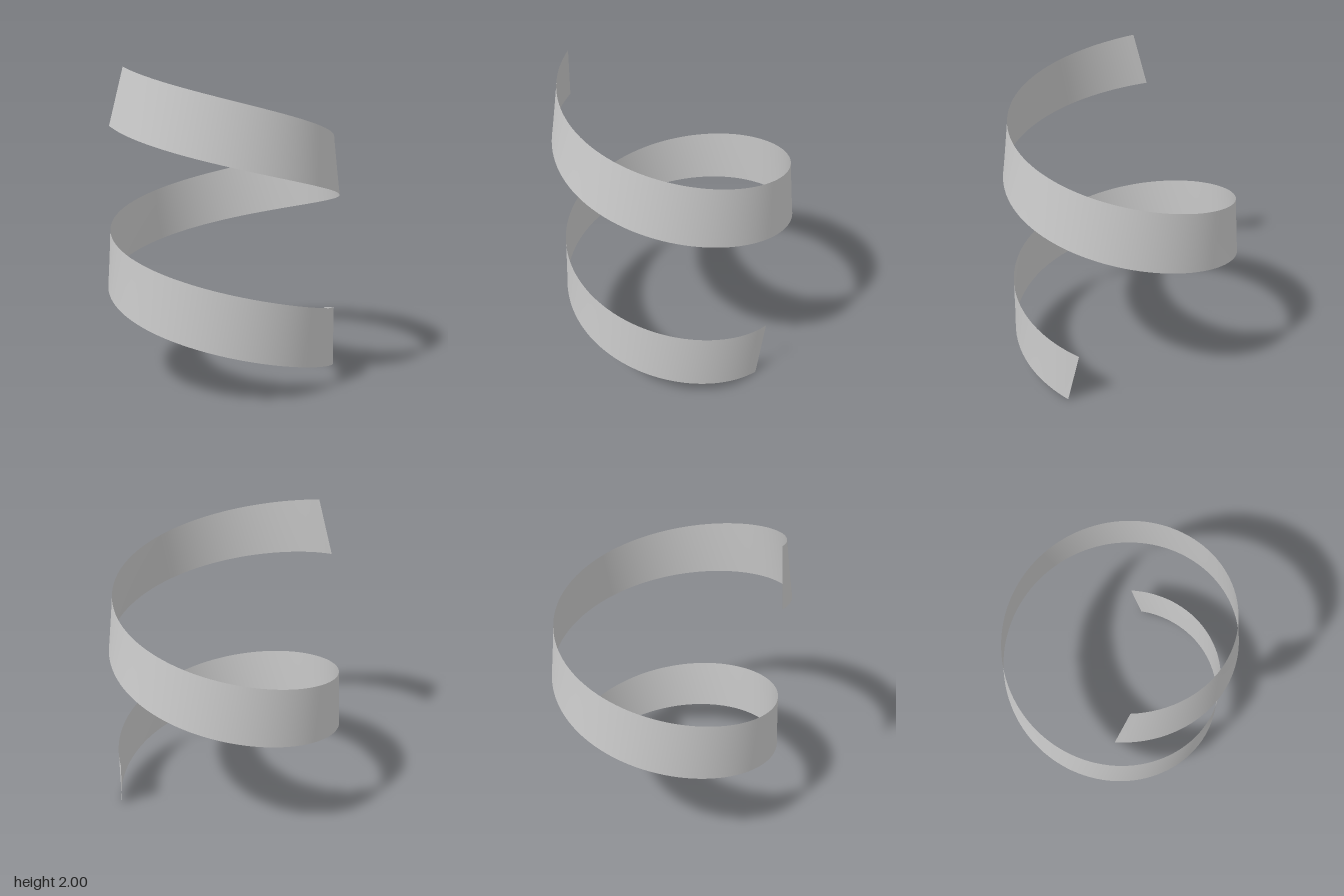
import * as THREE from 'three';

const RADIUS = 0.74;
const WIDTH = 0.37;
const START = 0.187;               // angle of the bottom end, from +x towards +z
const END = 3 * Math.PI - 0.092;   // angle of the top end
const Y0 = 0.18, Y1 = 1.8225;      // centre line heights at both ends
const LEAN = 0.16;                 // inward lean reached at the top end
const SEGMENTS = 160;

// Thin helical band: each cross-section is a line square to the helix,
// leaning steadily further inwards on the way up
function bandGeometry() {
  const positions = [], index = [];
  const slope = Math.atan((Y1 - Y0) / (END - START) / RADIUS);
  for (let i = 0; i <= SEGMENTS; i++) {
    const t = i / SEGMENTS;
    const angle = THREE.MathUtils.lerp(START, END, t);
    const radial = new THREE.Vector3(Math.cos(angle), 0, Math.sin(angle));
    const tangent = new THREE.Vector3(-Math.sin(angle), 0, Math.cos(angle));
    const centre = radial.clone().multiplyScalar(RADIUS);
    centre.y = THREE.MathUtils.lerp(Y0, Y1, t);
    centre.z -= 0.005;
    const across = new THREE.Vector3(0, Math.cos(slope), 0)
      .addScaledVector(tangent, -Math.sin(slope))
      .multiplyScalar(Math.cos(LEAN * t))
      .addScaledVector(radial, -Math.sin(LEAN * t));
    for (const side of [-0.5, 0.5]) {
      positions.push(...centre.clone().addScaledVector(across, side * WIDTH).toArray());
    }
    if (i < SEGMENTS) {
      const a = 2 * i;
      index.push(a + 2, a, a + 1, a + 2, a + 1, a + 3);
    }
  }
  const geometry = new THREE.BufferGeometry();
  geometry.setAttribute('position', new THREE.Float32BufferAttribute(positions, 3));
  geometry.setIndex(index);
  geometry.computeVertexNormals();
  return geometry;
}

export function createModel() {
  const group = new THREE.Group();
  group.name = 'spiralRibbon';
  const material = new THREE.MeshStandardMaterial({ color: 0xcccccc, side: THREE.DoubleSide });
  const band = new THREE.Mesh(bandGeometry(), material);
  band.name = 'helicalBand';
  group.add(band);
  return group;
}
